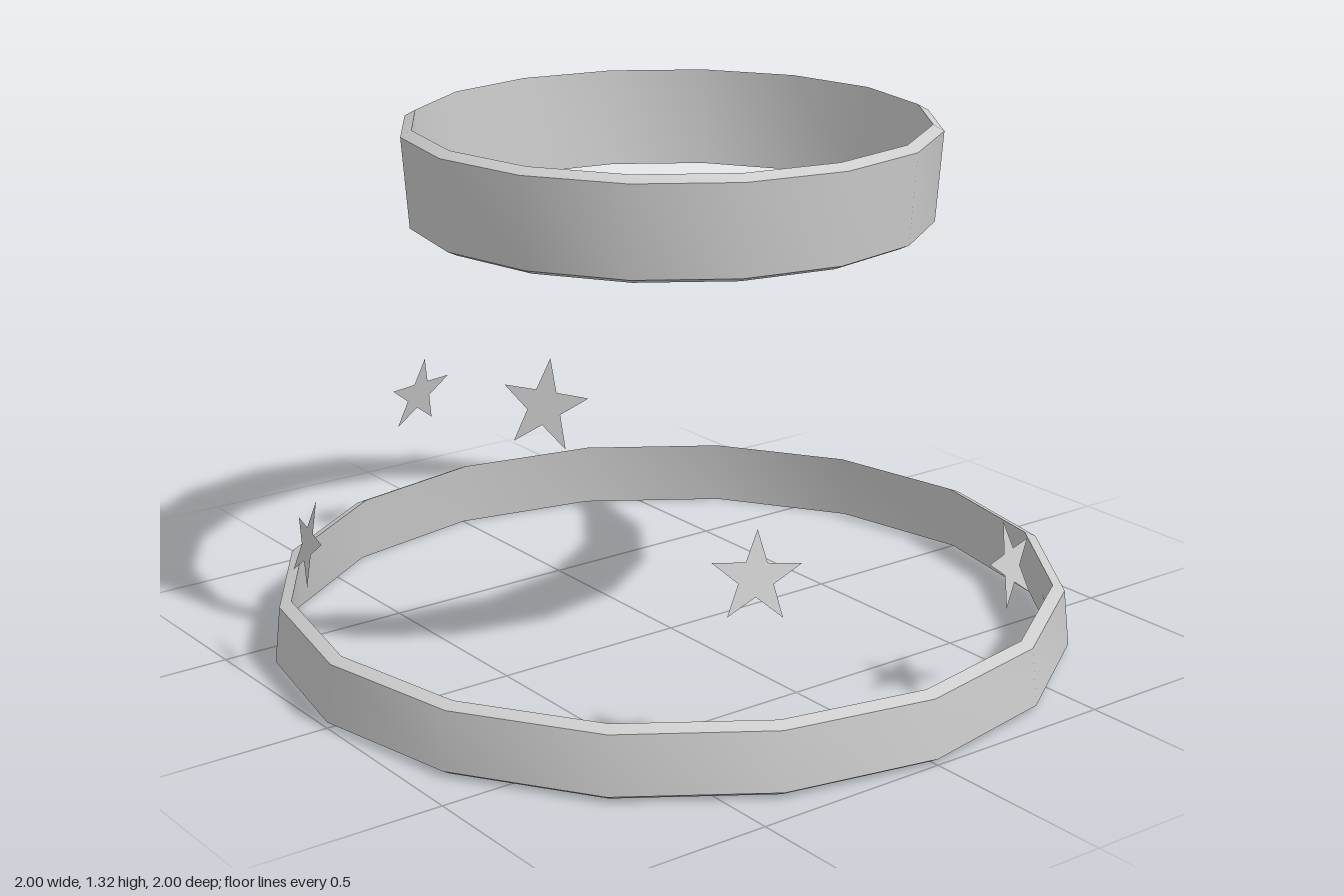
import * as THREE from 'three';
import { toCreasedNormals } from 'three/addons/utils/BufferGeometryUtils.js';

const grey = new THREE.MeshStandardMaterial({ color: 0xcccccc, side: THREE.DoubleSide });
grey.name = 'light grey';

// Sixteen-sided band turned from a closed four-corner section
function band(name, corners) {
  const points = [...corners, corners[0]].map(([r, y]) => new THREE.Vector2(r, y));
  const geometry = toCreasedNormals(new THREE.LatheGeometry(points, 16), 0.7);
  const mesh = new THREE.Mesh(geometry, grey);
  mesh.name = name;
  return mesh;
}

// Flat five-pointed star
function starGeometry(radius) {
  const shape = new THREE.Shape();
  for (let i = 0; i < 10; i++) {
    const r = i % 2 ? radius * 0.39 : radius;
    const a = Math.PI / 2 + (i * Math.PI) / 5;
    if (i === 0) shape.moveTo(r * Math.cos(a), r * Math.sin(a));
    else shape.lineTo(r * Math.cos(a), r * Math.sin(a));
  }
  shape.closePath();
  return new THREE.ShapeGeometry(shape);
}

export function createModel() {
  const model = new THREE.Group();
  model.name = 'starBands';

  // Bands: outer bottom, outer top, inner top, inner bottom
  model.add(band('lowerBand', [[1, 0.015], [0.985, 0.157], [0.955, 0.17], [0.975, 0]]));
  model.add(band('upperBand', [[0.637, 1.085], [0.653, 1.305], [0.626, 1.32], [0.612, 1.073]]));

  // Stars face outwards and lean back: x, y, z, roll
  const geometry = starGeometry(0.107);
  const places = [
    [-0.638, 0.815, 0.385, -0.04],
    [-0.37, 0.477, 0.8, -0.08],
    [-0.19, 0.438, -0.88, 0],
    [0.335, 0.364, 0.87, 0],
    [-0.904, 0.364, -0.233, 0],
  ];
  places.forEach(([x, y, z, roll], i) => {
    const star = new THREE.Mesh(geometry, grey);
    star.name = `star${i + 1}`;
    star.position.set(x, y, z);
    star.rotation.set(-0.24, Math.atan2(x, z), roll, 'YXZ');
    model.add(star);
  });

  return model;
}
